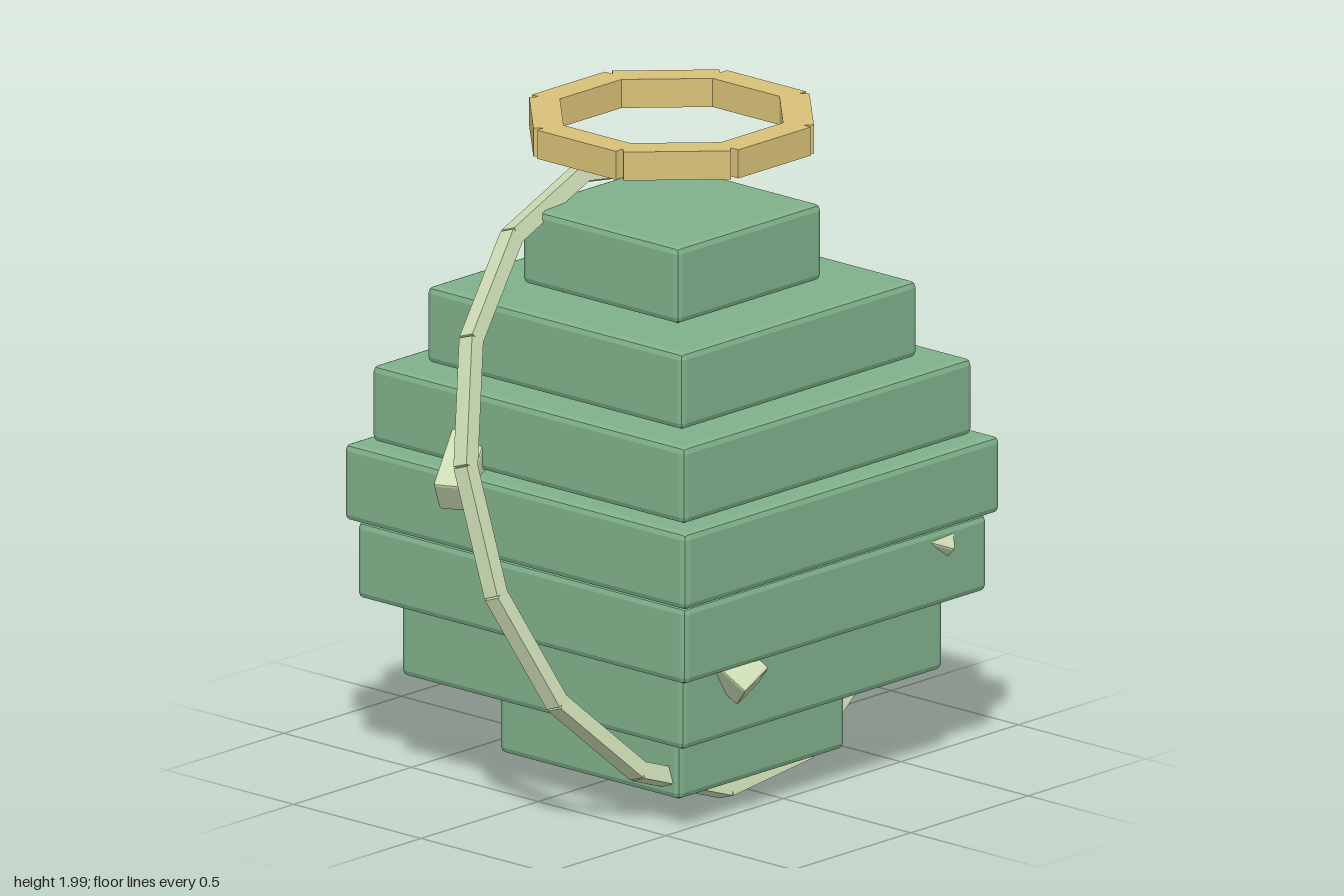
import * as THREE from 'three';
import { RoundedBoxGeometry } from 'three/addons/geometries/RoundedBoxGeometry.js';

const colour = (name, hex) => {
  const m = new THREE.MeshStandardMaterial({ color: hex });
  m.name = name;
  return m;
};

// box with narrow faceted bevels
function bevelBox(w, h, d, r) {
  const g = new RoundedBoxGeometry(w, h, d, 1, r);
  g.computeVertexNormals();
  return g;
}

export function createModel() {
  const green = colour('green', 0x7fb08a);
  const cream = colour('cream', 0xccdcb4);
  const gold = colour('gold', 0xd8c078);
  const model = new THREE.Group();
  const cx = -0.008, cz = 0.07;

  const add = (parent, name, geometry, material) => {
    const mesh = new THREE.Mesh(geometry, material);
    mesh.name = name;
    parent.add(mesh);
    return mesh;
  };
  const group = (name) => {
    const g = new THREE.Group();
    g.name = name;
    model.add(g);
    return g;
  };

  // stacked square tiers forming a stepped ball
  const body = group('body');
  [0.355, 0.555, 0.645, 0.672, 0.615, 0.503, 0.308].forEach((half, i) => {
    const tier = add(body, 'tier', bevelBox(half * 2, 0.232, half * 2, 0.02), green);
    tier.position.set(cx, 0.186 + i * 0.2357, cz);
  });

  // floating eight-sided halo of separate bars
  const halo = group('halo');
  halo.position.set(cx, 1.957, 0.068);
  for (let i = 0; i < 8; i++) {
    const a = i * Math.PI / 4;
    const bar = add(halo, 'haloBar', new THREE.BoxGeometry(0.31, 0.086, 0.088), gold);
    bar.position.set(Math.sin(a) * 0.361, 0, Math.cos(a) * 0.361);
    bar.rotation.y = a;
  }

  // tilted orbit ring made of fifteen straight bars
  const orbit = group('orbitRing');
  const normal = new THREE.Vector3(0.094, 0.35, 1).normalize();
  const across = new THREE.Vector3(1, 0, -0.094).normalize();
  const upward = normal.clone().cross(across);
  orbit.position.set(0, 0.9, 0.068);
  orbit.quaternion.setFromRotationMatrix(new THREE.Matrix4().makeBasis(across, upward, normal));
  const step = Math.PI * 2 / 15;
  for (let i = 0; i < 15; i++) {
    const a = THREE.MathUtils.degToRad(93) + (i + 0.5) * step;
    const bar = add(orbit, 'orbitBar', new THREE.BoxGeometry(0.05, 0.386, 0.05), cream);
    bar.position.set(Math.cos(a) * 0.897, Math.sin(a) * 0.897, 0);
    bar.rotation.z = a;
  }

  // small blocks poking out of the tiers: end centre, outward direction, roll
  const studs = group('studs');
  [
    [[-0.335, 0.465, 0.69], [0.3, -0.6, 0.7], 40],
    [[0.655, 0.475, -0.21], [0.36, -0.4, -0.85], 30],
    [[-0.095, 0.705, -0.7], [-0.6, -0.5, -0.6], 0],
    [[-0.735, 0.955, -0.115], [-0.75, -0.55, 0.35], 0],
    [[0.497, 0.71, 0.675], [0.85, -0.35, 0.35], 45],
  ].forEach(([end, dir, roll]) => {
    const d = new THREE.Vector3(...dir).normalize();
    const stud = add(studs, 'stud', bevelBox(0.11, 0.11, 0.26, 0.008), cream);
    stud.lookAt(d);
    stud.rotateZ(THREE.MathUtils.degToRad(roll));
    stud.position.set(...end).addScaledVector(d, -0.13);
  });

  return model;
}
